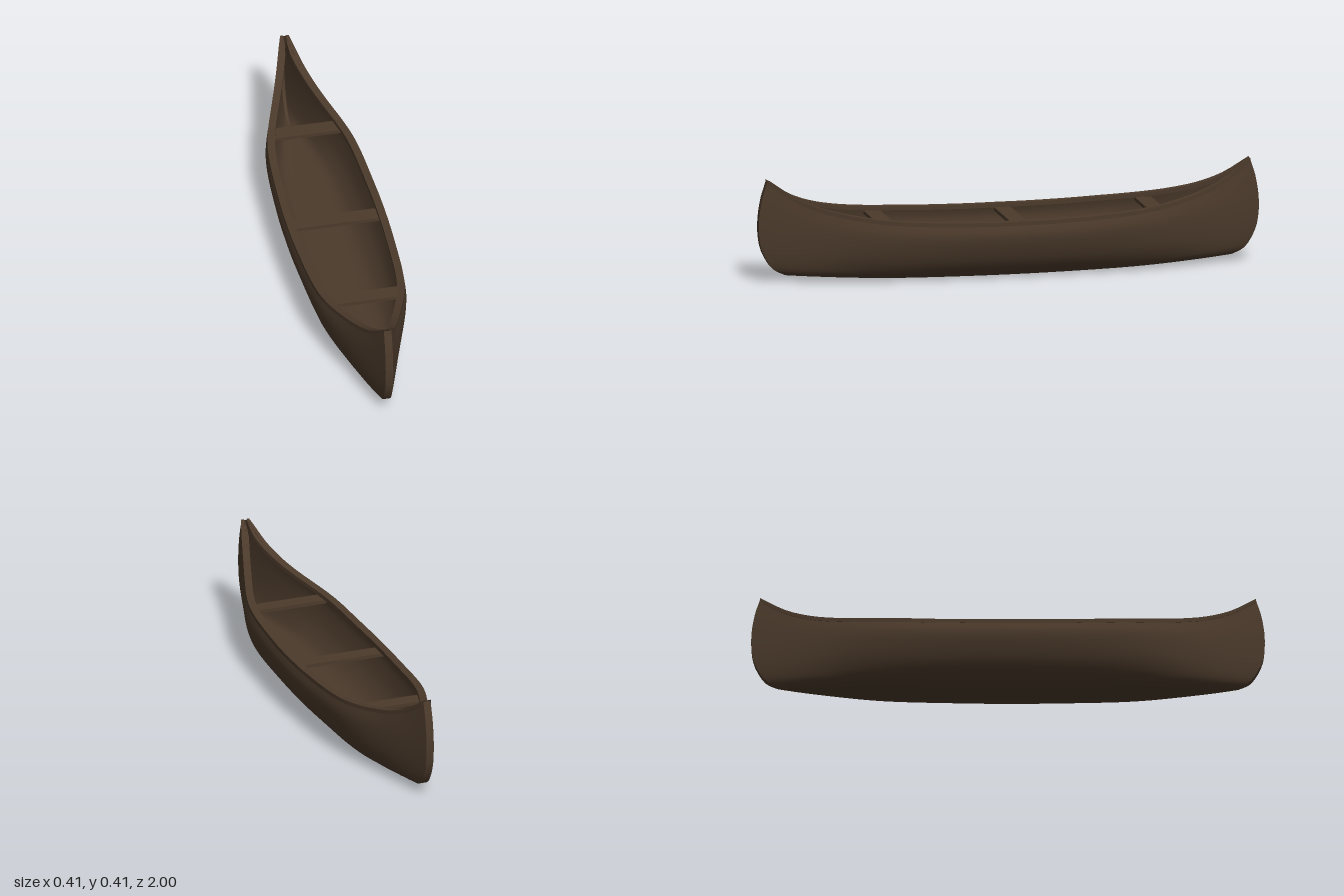
import * as THREE from 'three';

// Smooth lookup in a table of evenly spaced values, u from 0 to 1
function lookup(table, u) {
  const n = table.length - 1;
  const i = Math.min(Math.floor(u * n), n - 1);
  const f = u * n - i;
  const at = (k) => (k < 0 ? table[0] : k > n ? 2 * table[n] - table[n - 1] : table[k]);
  const [a, b, c, d] = [at(i - 1), at(i), at(i + 1), at(i + 2)];
  return b + 0.5 * f * (c - a + f * (2 * a - 5 * b + 4 * c - d + f * (3 * (b - c) + d - a)));
}

// Half beam and rim height from midship to the tip
const BEAM = [0.205, 0.204, 0.2, 0.195, 0.188, 0.175, 0.15, 0.116, 0.081, 0.047, 0.015];
const SHEER = [0.23, 0.23, 0.232, 0.235, 0.24, 0.246, 0.256, 0.272, 0.296, 0.336, 0.402];
// Section from keel to rim: midship shape, end shape, and the curve of the stem
const MID_X = [0, 0.25, 0.42, 0.62, 0.82, 0.94, 1, 0.94];
const MID_Y = [0, 0, 0.015, 0.1, 0.3, 0.55, 0.79, 1];
const END_X = [0, 0.5, 0.8, 1, 1, 1, 1, 1];
const END_Y = [0, 0.005, 0.025, 0.1, 0.3, 0.55, 0.8, 1];
const STEM_Z = [0.86, 0.88, 0.905, 0.95, 0.99, 1, 0.988, 0.965];

// Point on the hull: t from stern (-1) to bow (1), v from right rim (-1) over the keel to left rim (1)
function hullPoint(t, v, wall = 0) {
  const a = Math.min(Math.abs(t), 1), s = Math.abs(v);
  const blend = a * a * a;
  const mix = (m, e) => THREE.MathUtils.lerp(lookup(m, s), lookup(e, s), blend);
  const keel = 0.022 * a * a;
  const x = lookup(BEAM, a) * mix(MID_X, END_X);
  const y = THREE.MathUtils.lerp(keel, lookup(SHEER, a), Math.max(0, mix(MID_Y, END_Y)));
  return new THREE.Vector3(
    Math.sign(v) * Math.max(x - wall, x * 0.4),
    y + wall * (1 - s),
    t * lookup(STEM_Z, s) * (1 - wall)
  );
}

// Surface through a grid of points
function gridSurface(rows, cols, point) {
  const positions = [], index = [];
  for (let i = 0; i <= rows; i++) {
    for (let j = 0; j <= cols; j++) positions.push(...point(i / rows, j / cols).toArray());
  }
  for (let i = 0; i < rows; i++) {
    for (let j = 0; j < cols; j++) {
      const a = i * (cols + 1) + j, b = a + cols + 1;
      index.push(a, b, a + 1, b, b + 1, a + 1);
    }
  }
  const geometry = new THREE.BufferGeometry();
  geometry.setAttribute('position', new THREE.Float32BufferAttribute(positions, 3));
  geometry.setIndex(index);
  geometry.computeVertexNormals();
  return geometry;
}

export function createModel() {
  const model = new THREE.Group();
  model.name = 'canoe';
  const wood = new THREE.MeshStandardMaterial({ color: 0x4b3a2b, side: THREE.DoubleSide });
  wood.name = 'dark brown wood';

  function add(name, geometry) {
    const mesh = new THREE.Mesh(geometry, wood);
    mesh.name = name;
    model.add(mesh);
    return mesh;
  }

  // Outer and inner skins
  add('outerHull', gridSurface(60, 40, (a, b) => hullPoint(a * 2 - 1, b * 2 - 1)));
  add('innerHull', gridSurface(60, 40, (a, b) => hullPoint(a * 2 - 1, b * 2 - 1, 0.01)));

  // Narrow posts closing both ends
  for (const [name, end] of [['bowStem', 1], ['sternStem', -1]]) {
    add(name, gridSurface(24, 1, (a, b) => {
      const p = hullPoint(end, a);
      p.x *= b * 2 - 1;
      return p;
    }));
  }

  // Gunwales: a rectangular rail swept along each rim
  const corners = [[1, 0.004], [0, 0.004], [0, -0.012], [1, -0.012], [1, 0.004]];
  for (const [name, side] of [['leftGunwale', 1], ['rightGunwale', -1]]) {
    const rail = gridSurface(60, 4, (a, b) => {
      const p = hullPoint(a * 2 - 1, 1);
      const [out, dy] = corners[Math.round(b * 4)];
      const x = out ? p.x + 0.004 * Math.min(1, p.x / 0.03) : Math.max(p.x - 0.026, 0.005);
      return new THREE.Vector3(side * x, p.y + dy, p.z);
    }).toNonIndexed();
    rail.computeVertexNormals();
    add(name, rail);
  }

  // Cross seats between the sides
  for (const [name, z] of [['bowSeat', 0.51], ['middleThwart', -0.02], ['sternSeat', -0.57]]) {
    const rim = hullPoint(z / 0.965, 1);
    const seat = add(name, new THREE.BoxGeometry(2 * rim.x - 0.022, 0.014, 0.065));
    seat.position.set(0, rim.y - 0.022, z);
  }

  return model;
}
